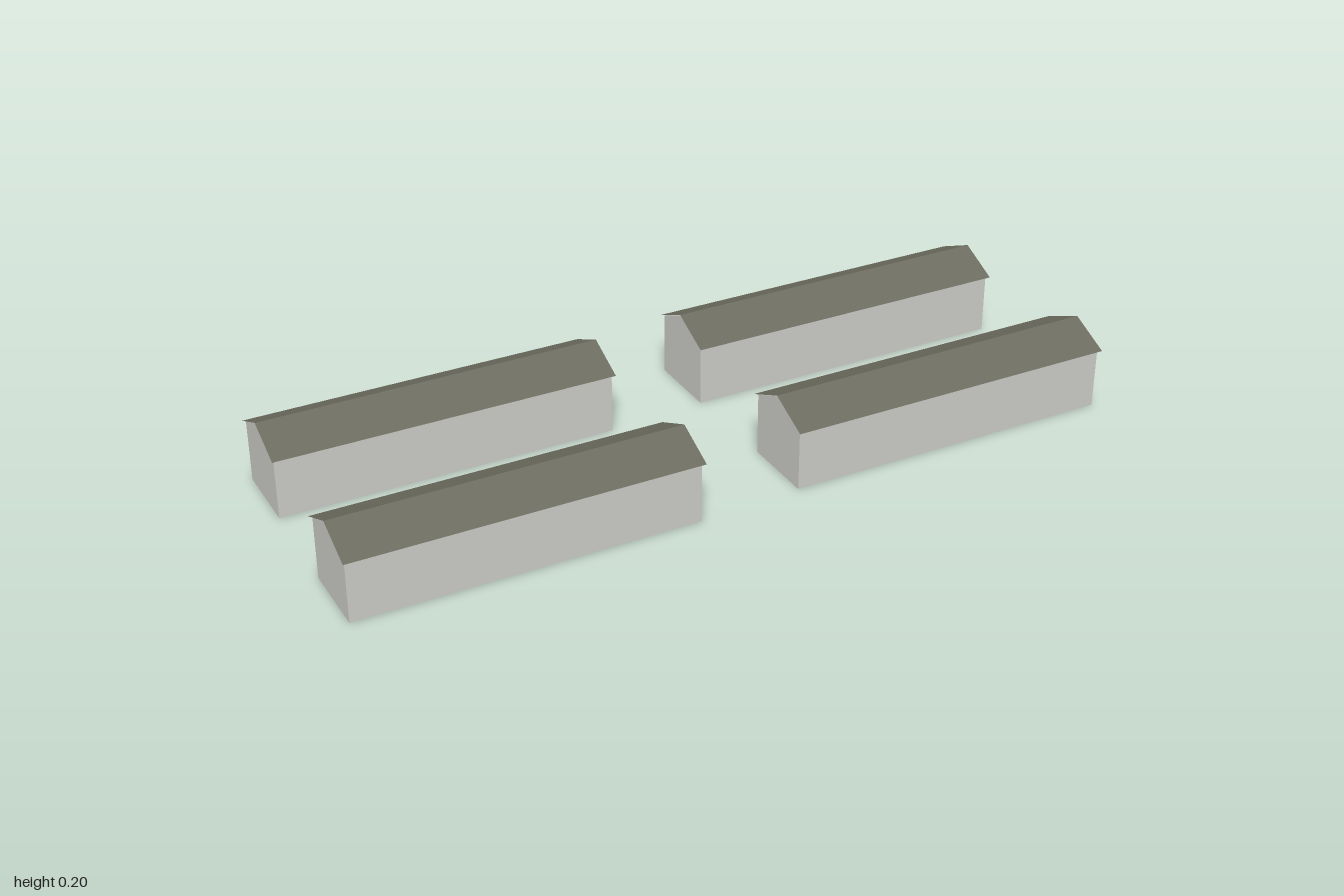
import * as THREE from 'three';

const wallMat = new THREE.MeshStandardMaterial({ color: 0xcacbc6, side: THREE.DoubleSide, flatShading: true });
wallMat.name = 'pale grey wall';
const roofMat = new THREE.MeshStandardMaterial({ color: 0x6c6c60, side: THREE.DoubleSide, flatShading: true });
roofMat.name = 'olive grey roof';

// Wall and roof sizes shared by all sheds
const WALL = { half: 0.095, length: 0.838, eave: 0.155, peak: 0.197 };
const ROOF = { half: 0.106, length: 0.85, eave: 0.153, peak: 0.201 };

function makeShed() {
  const shed = new THREE.Group();
  const add = (name, geometry, material) => {
    const mesh = new THREE.Mesh(geometry, material);
    mesh.name = name;
    shed.add(mesh);
    return mesh;
  };

  // Pentagonal end wall
  const gable = new THREE.Shape([
    new THREE.Vector2(-WALL.half, 0),
    new THREE.Vector2(WALL.half, 0),
    new THREE.Vector2(WALL.half, WALL.eave),
    new THREE.Vector2(0, WALL.peak),
    new THREE.Vector2(-WALL.half, WALL.eave),
  ]);
  const slope = Math.hypot(ROOF.half, ROOF.peak - ROOF.eave);
  const pitch = Math.atan2(ROOF.peak - ROOF.eave, ROOF.half);

  for (const s of [-1, 1]) {
    const end = add(s > 0 ? 'frontGable' : 'backGable', new THREE.ShapeGeometry(gable), wallMat);
    end.position.z = s * WALL.length / 2;
    if (s < 0) end.rotation.y = Math.PI;

    const side = s > 0 ? 'left' : 'right';
    // Long wall, facing outwards
    const wall = add(side + 'Wall', new THREE.PlaneGeometry(WALL.length, WALL.eave), wallMat);
    wall.rotation.y = s * Math.PI / 2;
    wall.position.set(s * WALL.half, WALL.eave / 2, 0);

    // Thin roof slope from ridge to overhanging eave
    const sheet = new THREE.PlaneGeometry(slope, ROOF.length).rotateX(-Math.PI / 2);
    const roof = add(side + 'RoofSlope', sheet, roofMat);
    roof.rotation.z = -s * pitch;
    roof.position.set(s * ROOF.half / 2, (ROOF.eave + ROOF.peak) / 2, 0);
  }
  return shed;
}

export function createModel() {
  const model = new THREE.Group();
  model.name = 'fourLongSheds';
  // Parallel sheds at their ground positions (x, z)
  const places = [[0.102, -0.589], [0.488, -0.337], [-0.49, 0.325], [-0.112, 0.584]];
  places.forEach(([x, z], i) => {
    const shed = makeShed();
    shed.name = 'shed' + (i + 1);
    shed.position.set(x, 0, z);
    shed.rotation.y = -0.592;
    model.add(shed);
  });
  return model;
}
